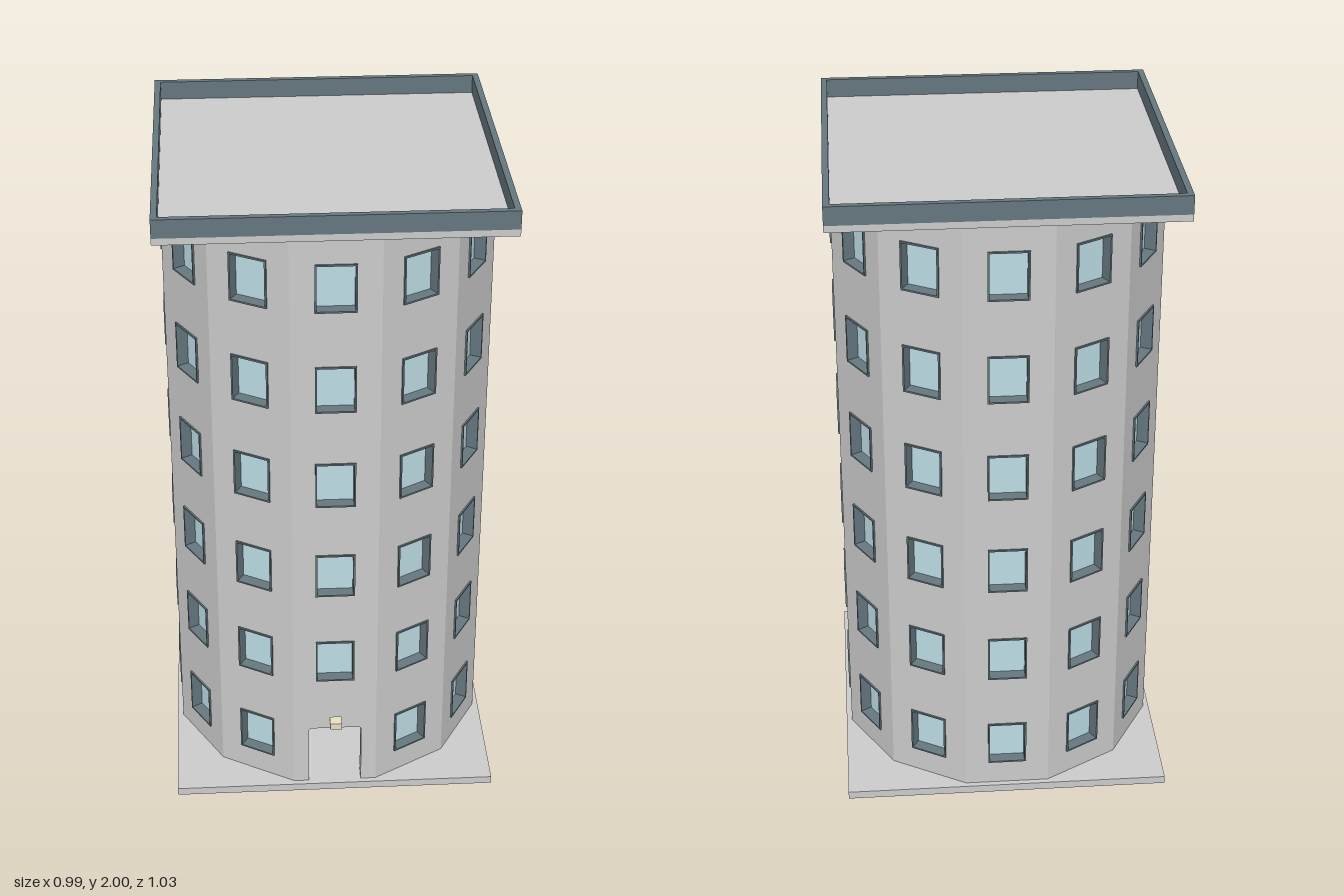
import * as THREE from 'three';

const SIDES = 12, APOTHEM = 0.48, CENTRE_Z = -0.02;
const HALF = APOTHEM * Math.tan(Math.PI / SIDES); // half width of one facet
const WALL = 0.045, BASE = 0.025, TOP = 1.925, SLAB = 0.994;
const WIN_W = 0.118, WIN_H = 0.148, FRAME = 0.005, LIP = 0.005;
const ROWS = Array.from({ length: 6 }, (_, i) => 0.178 + i * 0.319);
const DOOR_W = 0.082, DOOR_TOP = 0.235, DOOR_R = 0.012;

const grey = new THREE.MeshStandardMaterial({ color: 0xcccccc });
const slate = new THREE.MeshStandardMaterial({ color: 0x65777f });
const glassMat = new THREE.MeshStandardMaterial({ color: 0xbcdce4 });
const lampMat = new THREE.MeshStandardMaterial({ color: 0xe6dfc0 });

function mesh(name, geometry, material, x = 0, y = 0, z = 0) {
  const m = new THREE.Mesh(geometry, material);
  m.name = name;
  m.position.set(x, y, z);
  return m;
}

const box = (name, w, h, d, mat, x, y, z) =>
  mesh(name, new THREE.BoxGeometry(w, h, d), mat, x, y, z);

// Rectangle centred on (0, y), used for outlines and for holes
function rect(Type, w, h, y) {
  const p = new Type();
  p.moveTo(-w / 2, y - h / 2);
  p.lineTo(w / 2, y - h / 2);
  p.lineTo(w / 2, y + h / 2);
  p.lineTo(-w / 2, y + h / 2);
  p.closePath();
  return p;
}

// One wall panel with window openings; its outer face lies on z = 0
function wallGeometry(hasDoor) {
  const s = new THREE.Shape();
  s.moveTo(-HALF, BASE);
  if (hasDoor) {
    s.lineTo(-DOOR_W, BASE);
    s.lineTo(-DOOR_W, DOOR_TOP - DOOR_R);
    s.quadraticCurveTo(-DOOR_W, DOOR_TOP, -DOOR_W + DOOR_R, DOOR_TOP);
    s.lineTo(DOOR_W - DOOR_R, DOOR_TOP);
    s.quadraticCurveTo(DOOR_W, DOOR_TOP, DOOR_W, DOOR_TOP - DOOR_R);
    s.lineTo(DOOR_W, BASE);
  }
  s.lineTo(HALF, BASE);
  s.lineTo(HALF, TOP);
  s.lineTo(-HALF, TOP);
  s.closePath();
  for (const y of ROWS.slice(hasDoor ? 1 : 0)) s.holes.push(rect(THREE.Path, WIN_W, WIN_H, y));

  const g = new THREE.ExtrudeGeometry(s, { depth: WALL, bevelEnabled: false, curveSegments: 4 });
  g.translate(0, 0, -WALL);
  // Mitre the outer edges so neighbouring panels meet cleanly
  const p = g.attributes.position;
  for (let i = 0; i < p.count; i++) {
    if (Math.abs(p.getX(i)) > HALF - 0.001) {
      p.setX(i, Math.sign(p.getX(i)) * HALF * (1 + p.getZ(i) / APOTHEM));
    }
  }
  g.computeVertexNormals();
  return g;
}

// Thin frame lining the opening and standing slightly proud of the wall
function frameGeometry() {
  const s = rect(THREE.Shape, WIN_W, WIN_H, 0);
  s.holes.push(rect(THREE.Path, WIN_W - 2 * FRAME, WIN_H - 2 * FRAME, 0));
  const g = new THREE.ExtrudeGeometry(s, { depth: WALL + LIP, bevelEnabled: false });
  return g.translate(0, 0, -WALL);
}

export function createModel() {
  const tower = new THREE.Group();
  tower.name = 'tower';
  tower.position.z = CENTRE_Z;

  const plainWall = wallGeometry(false);
  const doorWall = wallGeometry(true);
  const frame = frameGeometry();
  const pane = new THREE.BoxGeometry(WIN_W - 2 * FRAME, WIN_H - 2 * FRAME, 0.008);

  // Twelve facets, the first holding the doorway
  for (let i = 0; i < SIDES; i++) {
    const angle = (i / SIDES) * Math.PI * 2;
    const facet = new THREE.Group();
    facet.name = 'facet';
    facet.rotation.y = angle;
    facet.position.set(APOTHEM * Math.sin(angle), 0, APOTHEM * Math.cos(angle));
    facet.add(mesh('wall', i === 0 ? doorWall : plainWall, grey));
    ROWS.forEach((y, row) => {
      if (i === 0 && row === 0) return;
      facet.add(mesh('windowFrame', frame, slate, 0, y, 0));
      facet.add(mesh('windowPane', pane, glassMat, 0, y, -0.035));
    });
    tower.add(facet);
  }

  // Square ground slab and roof slab
  tower.add(box('baseSlab', SLAB, BASE, SLAB, grey, 0, BASE / 2, 0));
  tower.add(box('roofSlab', SLAB, 0.02, SLAB, grey, 0, TOP + 0.01, 0));

  // Parapet ring around the roof
  const ring = rect(THREE.Shape, SLAB, SLAB, 0);
  ring.holes.push(rect(THREE.Path, SLAB - 0.036, SLAB - 0.036, 0));
  const parapet = new THREE.ExtrudeGeometry(ring, { depth: 0.055, bevelEnabled: false });
  parapet.rotateX(-Math.PI / 2);
  tower.add(mesh('parapet', parapet, slate, 0, TOP + 0.02, 0));

  // Lamp over the doorway
  tower.add(box('doorLamp', 0.036, 0.022, 0.035, lampMat, 0, 0.284, 0.4975 - CENTRE_Z));

  const model = new THREE.Group();
  model.name = 'apartmentTower';
  model.add(tower);
  return model;
}
